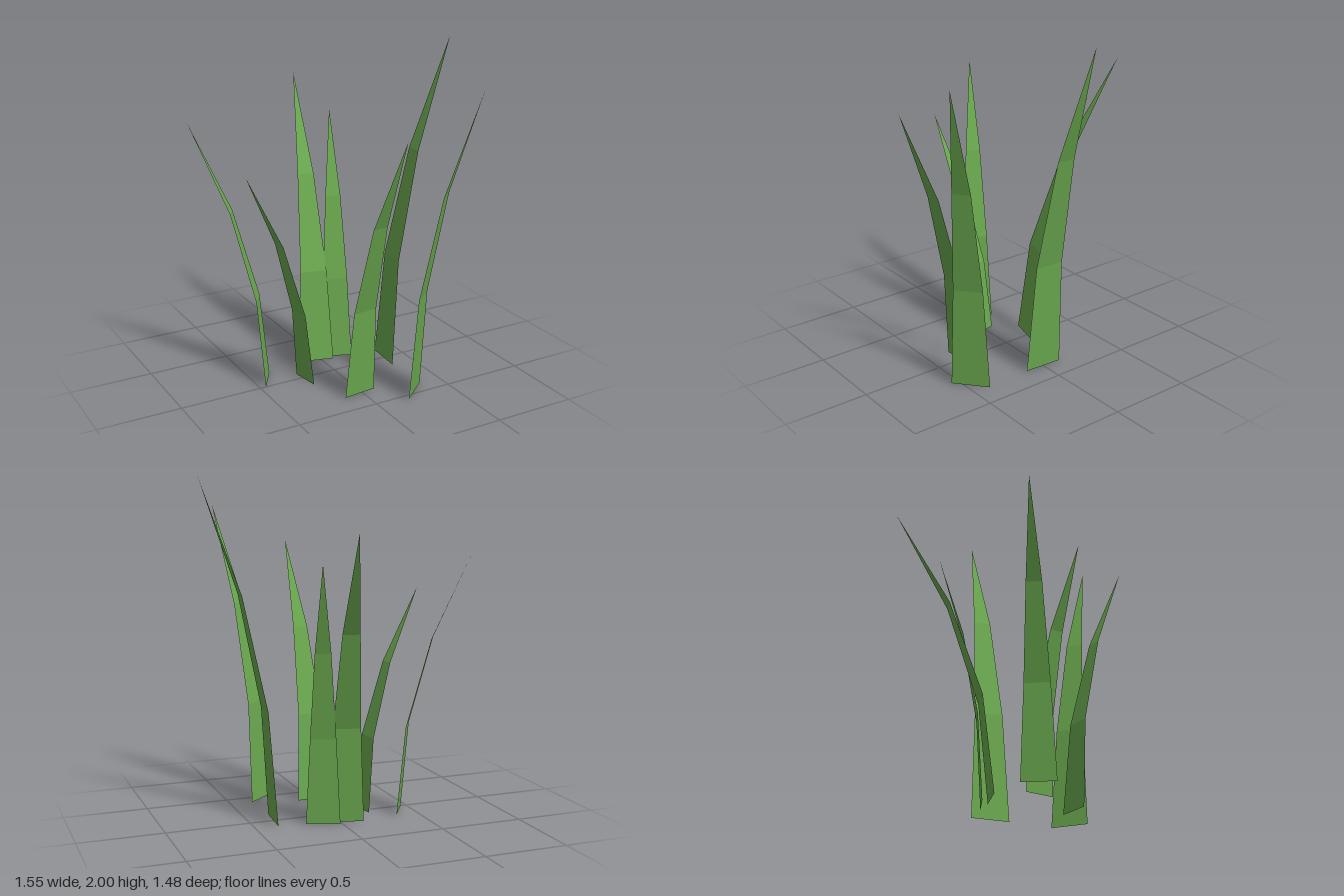
import * as THREE from 'three';

// Each blade: name, foot centre x/z, tip x/z, height, width at the ground
const BLADES = [
  ['rightmostBlade', 0.357, 0, 0.77, 0.025, 2.0, 0.235],
  ['backBlade', -0.03, -0.172, 0.122, -0.74, 1.71, 0.217],
  ['backSmallBlade', 0.107, -0.168, 0.205, -0.427, 1.53, 0.2],
  ['backCornerBlade', -0.415, -0.078, -0.777, -0.305, 1.59, 0.193],
  ['shortBlade', -0.214, 0.027, -0.603, 0.088, 1.34, 0.177],
  ['frontBlade', -0.017, 0.34, 0.025, 0.735, 1.605, 0.206],
  ['frontCornerBlade', 0.278, 0.472, 0.503, 0.737, 1.835, 0.227],
];
const SEGMENTS = 3;

// Flat ribbon that bends outward quadratically and narrows to a point
function bladeGeometry(footX, footZ, tipX, tipZ, height, width) {
  const lean = new THREE.Vector3(tipX - footX, 0, tipZ - footZ);
  const side = new THREE.Vector3(lean.z, 0, -lean.x).normalize();
  const point = (i, s) => {
    const t = i / SEGMENTS;
    const half = (width / 2) * Math.pow(1 - t, 0.7);
    return new THREE.Vector3(footX, height * t, footZ)
      .addScaledVector(lean, t * t)
      .addScaledVector(side, s * half);
  };
  // Separate triangles keep every bend crisp
  const points = [];
  for (let i = 0; i < SEGMENTS; i++) {
    points.push(point(i, -1), point(i, 1), point(i + 1, 1));
    if (i < SEGMENTS - 1) points.push(point(i, -1), point(i + 1, 1), point(i + 1, -1));
  }
  const geometry = new THREE.BufferGeometry().setFromPoints(points);
  geometry.computeVertexNormals();
  return geometry;
}

export function createModel() {
  const group = new THREE.Group();
  group.name = 'grassTuft';
  const grass = new THREE.MeshStandardMaterial({ color: 0x6aa84f, side: THREE.DoubleSide });
  grass.name = 'grassGreen';
  for (const [name, ...dims] of BLADES) {
    const blade = new THREE.Mesh(bladeGeometry(...dims), grass);
    blade.name = name;
    group.add(blade);
  }
  return group;
}
